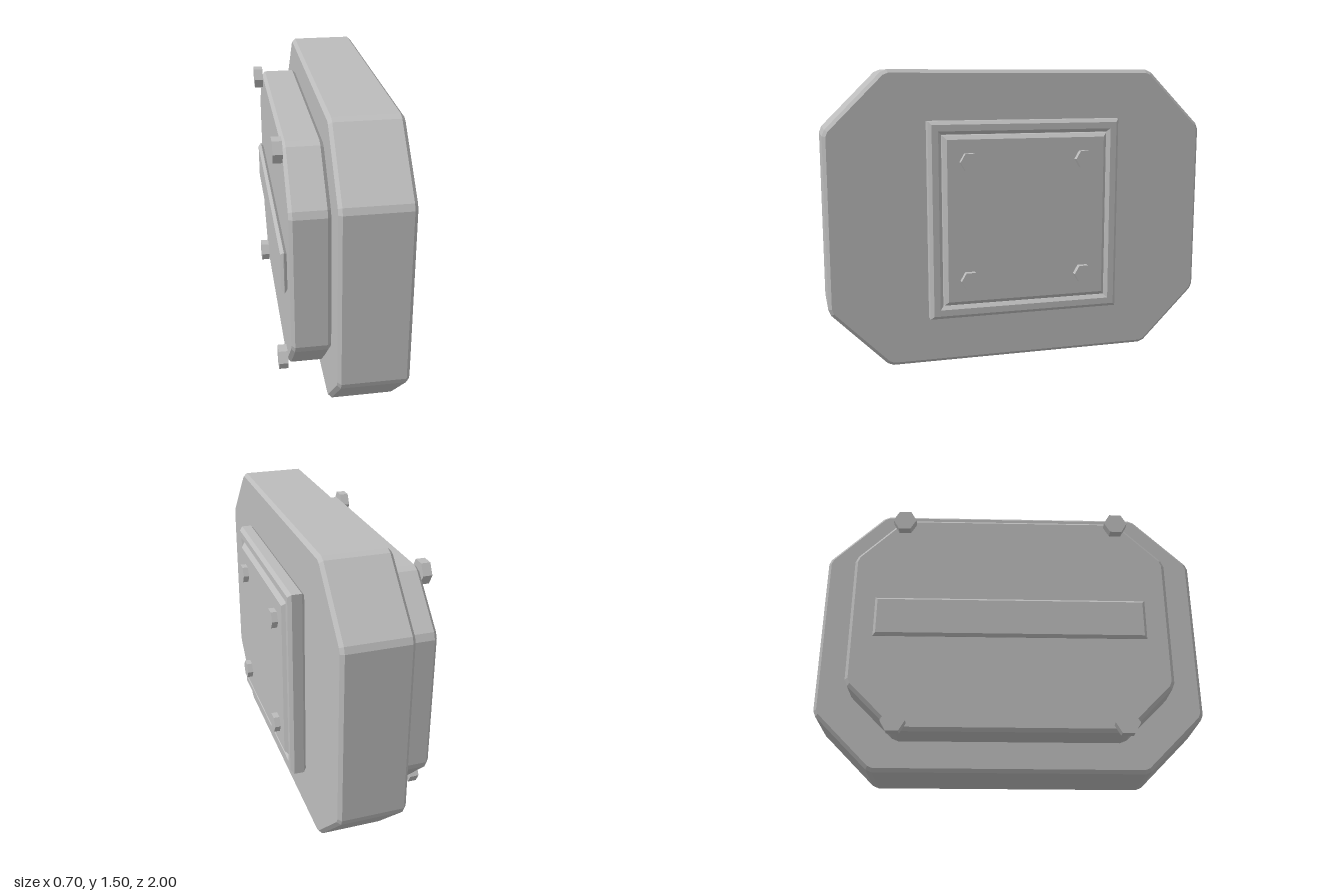
import * as THREE from 'three';

const grey = new THREE.MeshStandardMaterial({ color: 0xbcbcbc });
grey.name = 'casing grey';

const CENTRE_Y = 0.75;
const BEVEL = 0.017;

// Rectangle with corners cut off by c
function cutRect(halfZ, halfY, c) {
  const a = halfZ - c, b = halfY - c;
  return [
    [halfZ, -b], [halfZ, b], [a, halfY], [-a, halfY],
    [-halfZ, b], [-halfZ, -b], [-a, -halfY], [a, -halfY],
  ].map(([x, y]) => new THREE.Vector2(x, y));
}

function rect(halfZ, halfY) {
  return [[halfZ, -halfY], [halfZ, halfY], [-halfZ, halfY], [-halfZ, -halfY]]
    .map(([x, y]) => new THREE.Vector2(x, y));
}

// Replace each corner by a short facet starting d before it
function softenCorners(points, d) {
  return points.flatMap((p, i) => {
    const prev = points[(i + points.length - 1) % points.length];
    const next = points[(i + 1) % points.length];
    return [prev, next].map((q) => q.clone().sub(p).setLength(d).add(p));
  });
}

// Bevelled slab filling x0..x1, with its outline in the z-y plane
function slab(name, outline, x0, x1, bevel = BEVEL, hole = null) {
  const shape = new THREE.Shape(outline);
  if (hole) shape.holes.push(new THREE.Path(hole));
  const geometry = new THREE.ExtrudeGeometry(shape, {
    depth: x1 - x0 - 2 * bevel,
    bevelEnabled: true,
    bevelThickness: bevel,
    bevelSize: bevel,
    bevelOffset: -bevel,
    bevelSegments: 1,
  });
  geometry.translate(0, 0, x0 + bevel);
  geometry.rotateY(Math.PI / 2);
  const mesh = new THREE.Mesh(geometry, grey);
  mesh.name = name;
  mesh.position.y = CENTRE_Y;
  return mesh;
}

// Four hexagonal bolt heads, mirrored about the centre
function boltSet(name, radius, x0, x1, z, y) {
  const group = new THREE.Group();
  group.name = name;
  const geometry = new THREE.CylinderGeometry(radius, radius, x1 - x0, 6)
    .rotateZ(Math.PI / 2).toNonIndexed();
  geometry.computeVertexNormals();
  for (const sy of [-1, 1]) {
    for (const sz of [-1, 1]) {
      const bolt = new THREE.Mesh(geometry, grey);
      bolt.name = 'bolt';
      bolt.position.set((x0 + x1) / 2, CENTRE_Y + sy * y, sz * z);
      group.add(bolt);
    }
  }
  return group;
}

export function createModel() {
  const model = new THREE.Group();
  model.name = 'armourPlate';
  model.add(
    // Main casing and the smaller plate behind it
    slab('mainBody', softenCorners(cutRect(1, 0.75, 0.3), 0.018), -0.115, 0.225),
    slab('backPlate', softenCorners(cutRect(0.82, 0.6, 0.245), 0.02), -0.305, -0.115),
    // Square frame with its inset panel
    slab('frame', rect(0.5, 0.5), 0.222, 0.306, 0.017, rect(0.434, 0.434).reverse()),
    slab('panel', rect(0.43, 0.43), 0.222, 0.316, 0.02),
    boltSet('panelBolts', 0.049, 0.31, 0.346, 0.3, 0.3),
    // Raised bar and bolts on the back plate
    slab('backBar', rect(0.695, 0.108), -0.335, -0.304, 0.014),
    boltSet('backBolts', 0.061, -0.35, -0.304, 0.565, 0.566),
  );
  return model;
}
